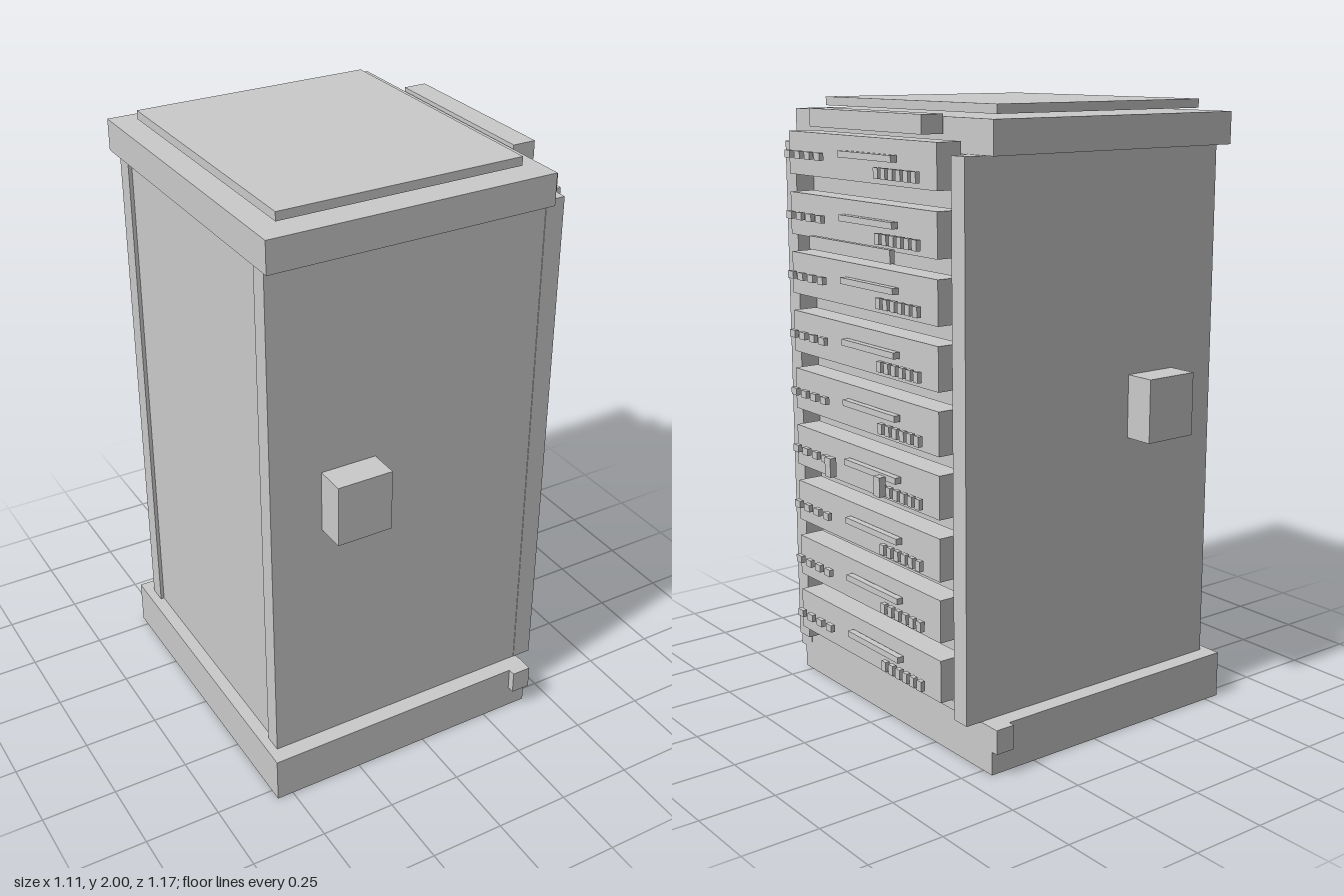
import * as THREE from 'three';

const material = new THREE.MeshStandardMaterial({ color: 0xcccccc, flatShading: true });

// Box given by its [min, max] extent along each axis
function box(parent, name, [x0, x1], [y0, y1], [z0, z1]) {
  const mesh = new THREE.Mesh(new THREE.BoxGeometry(x1 - x0, y1 - y0, z1 - z0), material);
  mesh.position.set((x0 + x1) / 2, (y0 + y1) / 2, (z0 + z1) / 2);
  mesh.name = name;
  parent.add(mesh);
  return mesh;
}

// Same box on both the +z and -z sides
function mirrored(parent, name, x, y, [z0, z1]) {
  box(parent, name, x, y, [z0, z1]);
  box(parent, name, x, y, [-z1, -z0]);
}

// One rack unit, centred on y = 0, with its face details
function rackUnit() {
  const unit = new THREE.Group();
  unit.name = 'rackUnit';
  box(unit, 'unitCase', [0.42, 0.505], [-0.068, 0.068], [-0.405, 0.405]);
  box(unit, 'driveSlot', [0.508, 0.53], [0.002, 0.022], [-0.21, 0.078]);
  for (let i = 0; i < 4; i++) {
    const z = 0.369 - i * 0.0595;
    box(unit, 'indicator', [0.52, 0.535], [-0.014, 0.01], [z - 0.016, z + 0.016]);
  }
  for (let i = 0; i < 6; i++) {
    const z = -0.129 - i * 0.0388;
    box(unit, 'port', [0.515, 0.53], [-0.05, -0.017], [z - 0.012, z + 0.012]);
  }
  return unit;
}

export function createModel() {
  const model = new THREE.Group();
  model.name = 'serverCabinet';

  // Plinth with corner clips
  box(model, 'base', [-0.555, 0.415], [0, 0.155], [-0.542, 0.542]);
  mirrored(model, 'baseClip', [0.35, 0.416], [0.077, 0.156], [0.5, 0.567]);

  // Cabinet shell: core, side panels, front posts, lower sill
  box(model, 'core', [-0.513, 0.405], [0.155, 1.86], [-0.425, 0.425]);
  mirrored(model, 'sidePanel', [-0.525, 0.405], [0.155, 1.86], [0.425, 0.486]);
  mirrored(model, 'frontPost', [0.405, 0.47], [0.155, 1.86], [0.425, 0.488]);
  box(model, 'frontSill', [0.4, 0.43], [0.155, 0.185], [-0.425, 0.425]);
  mirrored(model, 'sideBox', [-0.353, -0.168], [0.957, 1.16], [0.48, 0.585]);

  // Lid, raised top plate and top bar
  box(model, 'lid', [-0.54, 0.402], [1.86, 1.962], [-0.532, 0.532]);
  box(model, 'topPlate', [-0.47, 0.332], [1.972, 2], [-0.457, 0.457]);
  box(model, 'topBar', [0.41, 0.487], [1.913, 1.97], [-0.305, 0.305]);

  // Stack of rack units
  for (let i = 0; i < 9; i++) {
    const unit = rackUnit();
    unit.position.y = 0.28 + i * 0.1936;
    model.add(unit);
  }

  // Pull bar and the two small handles
  box(model, 'pullBar', [0.53, 0.547], [1.538, 1.58], [-0.225, 0.225]);
  mirrored(model, 'handle', [0.53, 0.553], [0.813, 0.876], [0.125, 0.158]);

  return model;
}
